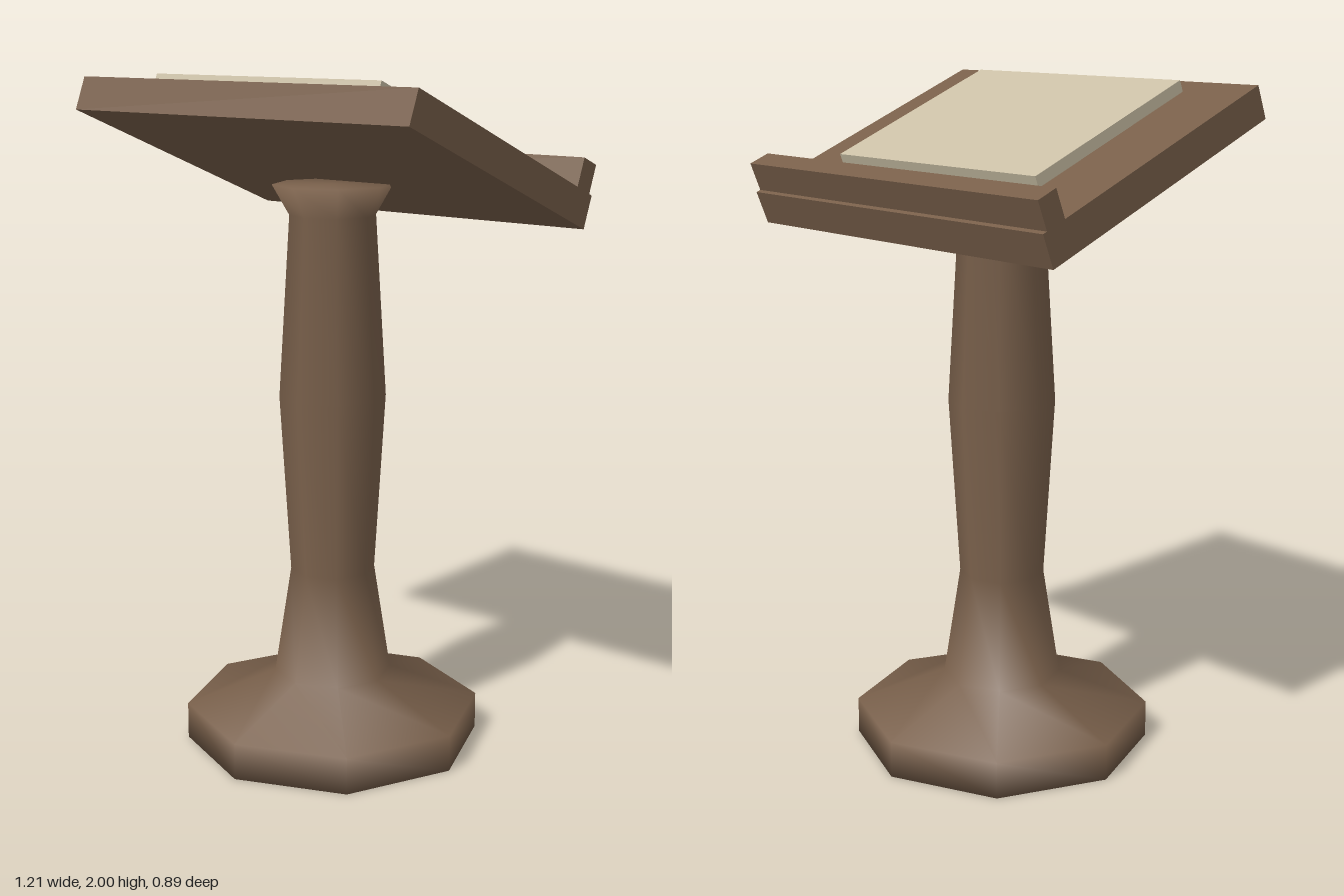
import * as THREE from 'three';

export function createModel() {
  const model = new THREE.Group();
  const wood = new THREE.MeshStandardMaterial({ color: 0x785f4a });
  const paper = new THREE.MeshStandardMaterial({ color: 0xcabfa5 });

  // Eight-sided turned pedestal: foot, waisted shaft and flared collar
  const profile = [
    [0, 0], [0.445, 0], [0.445, 0.11], [0.176, 0.213], [0.126, 0.537],
    [0.158, 1.067], [0.126, 1.602], [0.176, 1.69], [0, 1.69],
  ].map(([r, y]) => new THREE.Vector2(r, y));
  const pedestal = new THREE.Mesh(new THREE.LatheGeometry(profile, 8), wood);
  pedestal.name = 'pedestal';
  model.add(pedestal);

  // Tilted reading desk, its parts laid out in the desk's own frame
  const desk = new THREE.Group();
  desk.name = 'desk';
  desk.position.set(0, 1.78, 0.002);
  desk.rotation.x = -0.38;
  model.add(desk);

  const addSlab = (name, material, w, h, d, y, z) => {
    const slab = new THREE.Mesh(new THREE.BoxGeometry(w, h, d), material);
    slab.name = name;
    slab.position.set(0, y, z);
    desk.add(slab);
  };
  addSlab('deskBoard', wood, 1.206, 0.1, 0.885, 0, 0);
  addSlab('bookLip', wood, 1.206, 0.088, 0.068, 0.092, -0.394);
  addSlab('page', paper, 0.816, 0.034, 0.602, 0.079, 0.052);

  return model;
}
